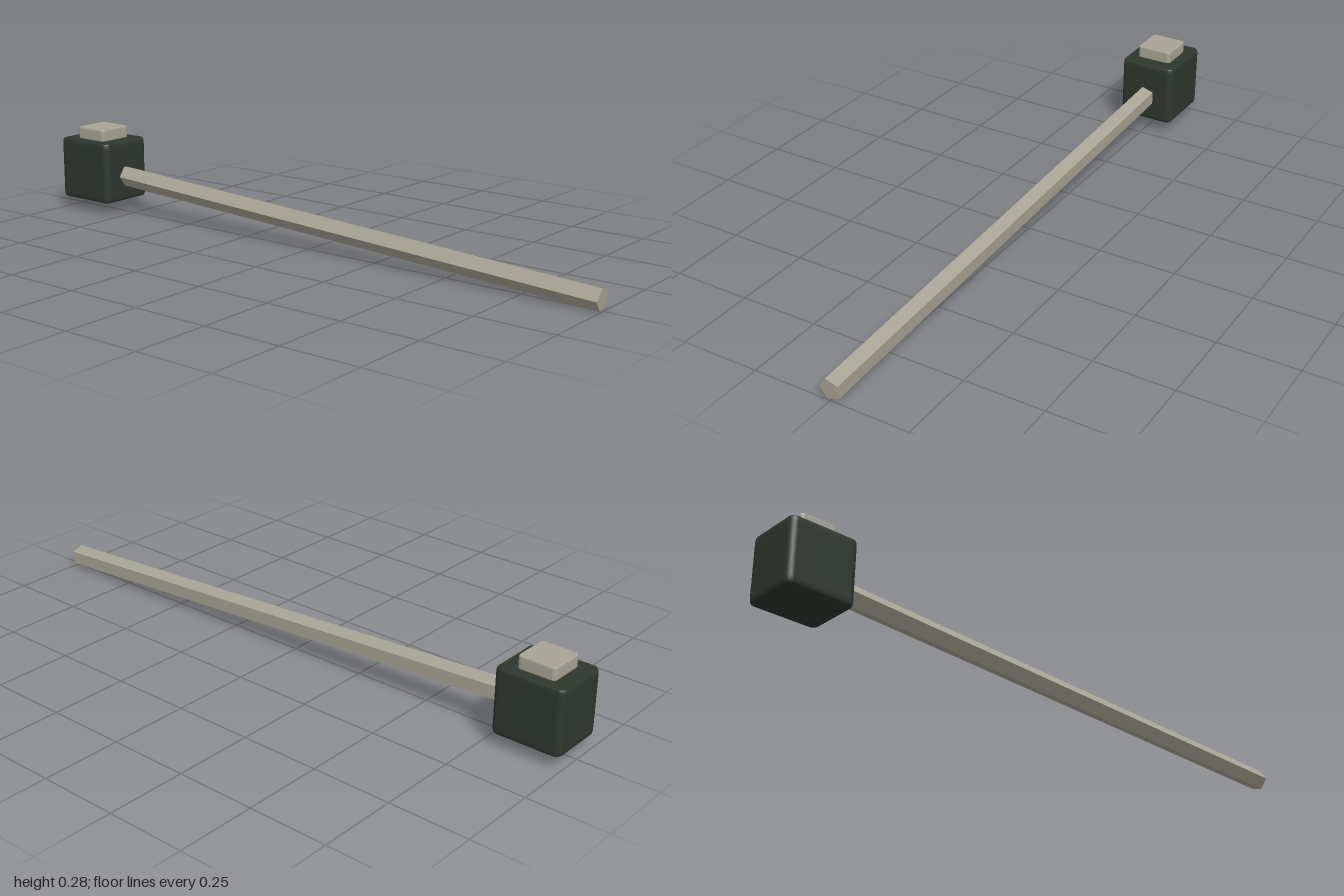
import * as THREE from 'three';
import { mergeVertices } from 'three/addons/utils/BufferGeometryUtils.js';

// Upright block: rounded corners in plan, soft rims at top and bottom
function softBlock(w, h, d, corner, rimIn, rimHeight) {
  const x = w / 2 - rimIn, y = d / 2 - rimIn, r = corner;
  const s = new THREE.Shape();
  s.moveTo(x, y - r);
  s.absarc(x - r, y - r, r, 0, Math.PI / 2);
  s.absarc(-x + r, y - r, r, Math.PI / 2, Math.PI);
  s.absarc(-x + r, -y + r, r, Math.PI, Math.PI * 1.5);
  s.absarc(x - r, -y + r, r, Math.PI * 1.5, Math.PI * 2);
  const g = new THREE.ExtrudeGeometry(s, {
    depth: h - 2 * rimHeight, curveSegments: 5,
    bevelSize: rimIn, bevelThickness: rimHeight, bevelSegments: 4,
  });
  g.translate(0, 0, rimHeight);
  g.rotateX(-Math.PI / 2);
  // weld so the rounded edges shade smoothly
  g.deleteAttribute('normal');
  g.deleteAttribute('uv');
  g.clearGroups();
  const smooth = mergeVertices(g, 1e-5);
  smooth.computeVertexNormals();
  return smooth;
}

export function createModel() {
  const model = new THREE.Group();
  const dark = new THREE.MeshStandardMaterial({ name: 'darkGreen', color: 0x2e372e });
  const pale = new THREE.MeshStandardMaterial({ name: 'paleStone', color: 0xa8a494 });

  const add = (name, geometry, material, x, y, z) => {
    const mesh = new THREE.Mesh(geometry, material);
    mesh.name = name;
    mesh.position.set(x, y, z);
    model.add(mesh);
    return mesh;
  };

  // Housing block and the button on top
  add('housing', softBlock(0.19, 0.2, 0.219, 0.017, 0.005, 0.02), dark, 0, 0.043, -0.889);
  add('button', softBlock(0.12, 0.041, 0.12, 0.01, 0.003, 0.006), pale, 0, 0.241, -0.889);

  // Five-sided rod, sloping down from the housing to the front
  const rodShape = new THREE.CylinderGeometry(0.0347, 0.0347, 1.89, 5, 1, false, -Math.PI / 2);
  rodShape.rotateX(Math.PI / 2);
  const rodGeometry = rodShape.toNonIndexed();
  rodGeometry.computeVertexNormals();
  const rod = add('rod', rodGeometry, pale, -0.001, 0.083, 0.054);
  rod.rotation.x = 0.0515;

  return model;
}
